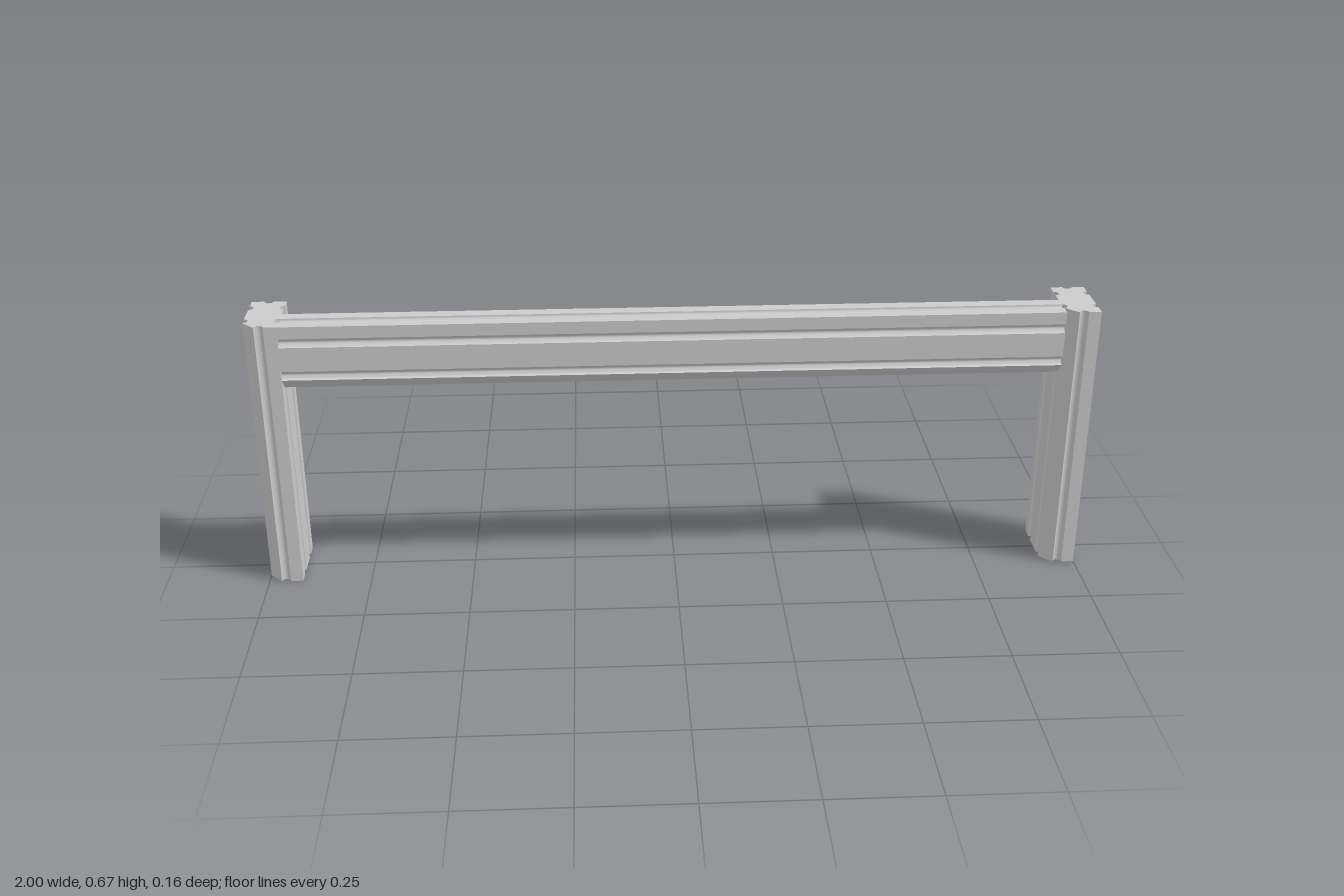
import * as THREE from 'three';
import { toCreasedNormals } from 'three/addons/utils/BufferGeometryUtils.js';

const W = 0.041;        // half width of the bar section
const D = 0.082;        // half depth of the bar section
const HEIGHT = 0.673;   // leg height
const GROOVE = 0.011;   // radius of the round grooves

// Bar section: one groove on each short side, two on each long side
function barSection() {
  const s = new THREE.Shape();
  const notch = (x, y, a) => s.absarc(x, y, GROOVE, a + Math.PI, a, true);
  s.moveTo(-W, -D);
  notch(0, -D, 0);
  s.lineTo(W, -D);
  notch(W, -D / 2, Math.PI / 2);
  notch(W, D / 2, Math.PI / 2);
  s.lineTo(W, D);
  notch(0, D, Math.PI);
  s.lineTo(-W, D);
  notch(-W, D / 2, -Math.PI / 2);
  notch(-W, -D / 2, -Math.PI / 2);
  s.closePath();
  return s;
}

// Extruded bar, centred along its length (z)
function barGeometry(length) {
  const g = new THREE.ExtrudeGeometry(barSection(), {
    depth: length, bevelEnabled: false, curveSegments: 6,
  });
  g.translate(0, 0, -length / 2);
  return toCreasedNormals(g, 0.6);
}

export function createModel() {
  const group = new THREE.Group();
  const material = new THREE.MeshStandardMaterial({ color: 0xcccccc });

  // Upright legs, deep side along z
  const legGeometry = barGeometry(HEIGHT).rotateX(-Math.PI / 2);
  for (const side of [-1, 1]) {
    const leg = new THREE.Mesh(legGeometry, material);
    leg.name = side > 0 ? 'leftLeg' : 'rightLeg';
    leg.position.set(side * (1 - W), HEIGHT / 2, 0);
    group.add(leg);
  }

  // Cross beam between the legs, flush with their front and top
  const beam = new THREE.Mesh(barGeometry(2 - 4 * W).rotateY(Math.PI / 2), material);
  beam.name = 'crossBeam';
  beam.position.set(0, HEIGHT - D, D - W);
  group.add(beam);

  return group;
}
